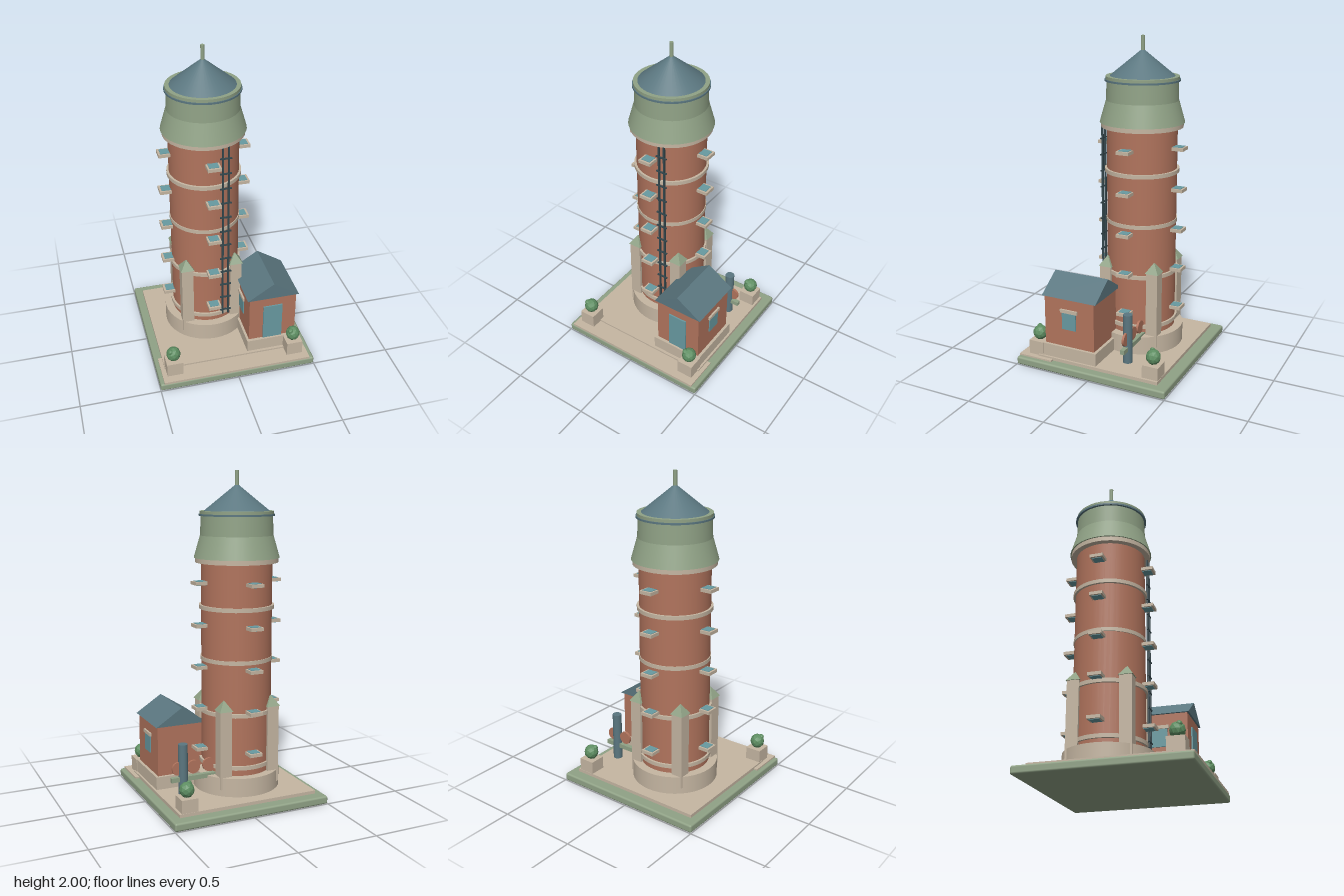
import * as THREE from 'three';
import { RoundedBoxGeometry } from 'three/addons/geometries/RoundedBoxGeometry.js';

const mat = (name, color, flatShading = false) => {
  const m = new THREE.MeshStandardMaterial({ color, flatShading });
  m.name = name;
  return m;
};

export function createModel() {
  const green = mat('sage green', 0x90a286);
  const stone = mat('pale stone', 0xc5b6a2);
  const brick = mat('brick', 0xb1745d);
  const slate = mat('slate', 0x5b7780);
  const glass = mat('teal glass', 0x689aa1);
  const iron = mat('dark iron', 0x34474d);
  const leaf = mat('leaf', 0x5e8e62, true);

  const root = new THREE.Group();
  root.name = 'waterTower';

  const group = (name, x, y, z, parent = root) => {
    const g = new THREE.Group();
    g.name = name;
    g.position.set(x, y, z);
    parent.add(g);
    return g;
  };
  const add = (name, geo, material, x, y, z, parent = root) => {
    const m = new THREE.Mesh(geo, material);
    m.name = name;
    m.position.set(x, y, z);
    parent.add(m);
    return m;
  };
  // box given by its limits on each axis
  const box = (name, material, x0, x1, y0, y1, z0, z1, parent = root) =>
    add(name, new THREE.BoxGeometry(x1 - x0, y1 - y0, z1 - z0), material,
      (x0 + x1) / 2, (y0 + y1) / 2, (z0 + z1) / 2, parent);
  // upright round part from y0 to y1
  const round = (name, material, rBottom, rTop, y0, y1, parent, sides = 40) =>
    add(name, new THREE.CylinderGeometry(rTop, rBottom, y1 - y0, sides), material,
      0, (y0 + y1) / 2, 0, parent);

  // ground
  add('baseSlab', new RoundedBoxGeometry(1, 0.05, 1, 2, 0.012), green, 0, 0.025, 0);
  box('frontPaving', stone, -0.475, 0.47, 0.045, 0.06, 0.27, 0.497);
  box('mainPaving', stone, -0.45, 0.445, 0.045, 0.07, -0.43, 0.375);

  // tower shaft
  const tower = group('tower', -0.075, 0, -0.086);
  round('towerPlinth', stone, 0.268, 0.268, 0.06, 0.185, tower);
  round('brickShaft', brick, 0.215, 0.215, 0.18, 1.47, tower);
  [[0.235, 0.228], [0.56, 0.228], [0.88, 0.22], [1.195, 0.229]].forEach(([y, r]) =>
    round('stoneBand', stone, r, r, y - 0.012, y + 0.012, tower));

  // tank and roof
  round('tankLedge', stone, 0.25, 0.25, 1.46, 1.49, tower);
  round('tankSkirt', green, 0.258, 0.22, 1.488, 1.62, tower);
  round('tankWall', green, 0.22, 0.215, 1.62, 1.74, tower);
  round('roofGasket', slate, 0.228, 0.228, 1.735, 1.746, tower);
  round('roofRim', green, 0.222, 0.222, 1.746, 1.764, tower);
  round('coneRoof', slate, 0.196, 0.004, 1.764, 1.92, tower);
  round('mast', green, 0.012, 0.012, 1.89, 2, tower, 12);

  // flat glazed shelves on four sides, five rows
  for (let side = 0; side < 4; side++) {
    const row = group('shelfColumn', 0, 0, 0, tower);
    row.rotation.y = side * Math.PI / 2;
    for (let i = 0; i < 5; i++) {
      const y = 0.328 + i * 0.254;
      box('shelfFrame', stone, -0.041, 0.041, y - 0.01, y + 0.01, 0.18, 0.283, row);
      box('shelfGlass', glass, -0.03, 0.03, y - 0.013, y + 0.013, 0.19, 0.27, row);
    }
  }

  // corner buttresses with pyramid caps
  for (const sx of [-1, 1]) for (const sz of [-1, 1]) {
    const b = group('buttress', sx * 0.158, 0, sz * 0.158, tower);
    box('buttressPier', stone, -0.037, 0.037, 0.11, 0.592, -0.037, 0.037, b);
    const cap = add('buttressCap', new THREE.ConeGeometry(0.061, 0.065, 4).toNonIndexed(), green,
      0, 0.624, 0, b);
    cap.geometry.computeVertexNormals();
    cap.rotation.y = Math.PI / 4;
  }

  // ladder
  const ladder = group('ladder', 0.006, 0, 0.135);
  for (const x of [-0.018, 0.018])
    box('ladderRail', iron, x - 0.005, x + 0.005, 0.23, 1.46, -0.006, 0.006, ladder);
  for (let i = 0; i < 12; i++) {
    const y = 0.265 + i * 0.1015;
    box('ladderRung', iron, -0.036, 0.036, y - 0.004, y + 0.004, -0.002, 0.008, ladder);
  }

  // pump house
  const house = group('pumpHouse', 0.262, 0, 0.167);
  box('housePlinth', stone, -0.167, 0.17, 0.06, 0.15, -0.187, 0.19, house);
  box('houseWalls', brick, -0.152, 0.152, 0.148, 0.468, -0.168, 0.17, house);
  const gable = new THREE.Shape([[-0.167, 0], [0.167, 0], [0, 0.108]].map(p => new THREE.Vector2(...p)));
  add('houseRoof', new THREE.ExtrudeGeometry(gable, { depth: 0.368, bevelEnabled: false }), slate,
    0, 0.465, -0.187, house);
  box('houseDoor', glass, -0.062, 0.062, 0.152, 0.4, 0.17, 0.179, house);
  for (const s of [-1, 1]) {
    const w = group('houseWindow', s * 0.152, 0, 0, house);
    box('windowPane', glass, -0.007, 0.007, 0.265, 0.375, -0.046, 0.048, w);
    box('windowLintel', stone, -0.012, 0.012, 0.374, 0.395, -0.058, 0.058, w);
  }

  // pipe rack: rail, standpipe and valve wheels
  const rack = group('pipeRack', 0, 0, -0.183);
  box('rackRail', green, 0.1, 0.4, 0.17, 0.198, -0.014, 0.014, rack);
  const pipe = round('standpipe', slate, 0.029, 0.029, 0.09, 0.4, rack, 20);
  pipe.position.x = 0.323;
  for (const x of [0.155, 0.255, 0.353]) {
    const wheel = add('valveWheel', new THREE.CylinderGeometry(0.041, 0.041, 0.014, 20), brick,
      x, 0.25, 0, rack);
    wheel.rotation.x = Math.PI / 2;
  }

  // planters with clipped bushes
  [[-0.395, 0.393], [0.385, 0.393], [0.379, -0.377]].forEach(([x, z]) => {
    const p = group('planter', x, 0, z);
    box('planterBox', stone, -0.051, 0.051, 0.055, 0.15, -0.051, 0.051, p);
    add('bush', new THREE.IcosahedronGeometry(0.045, 1), leaf, 0, 0.192, 0, p).scale.y = 1.06;
    add('bushTuft', new THREE.IcosahedronGeometry(0.017, 1), leaf, -0.02, 0.222, 0.015, p);
  });

  return root;
}
